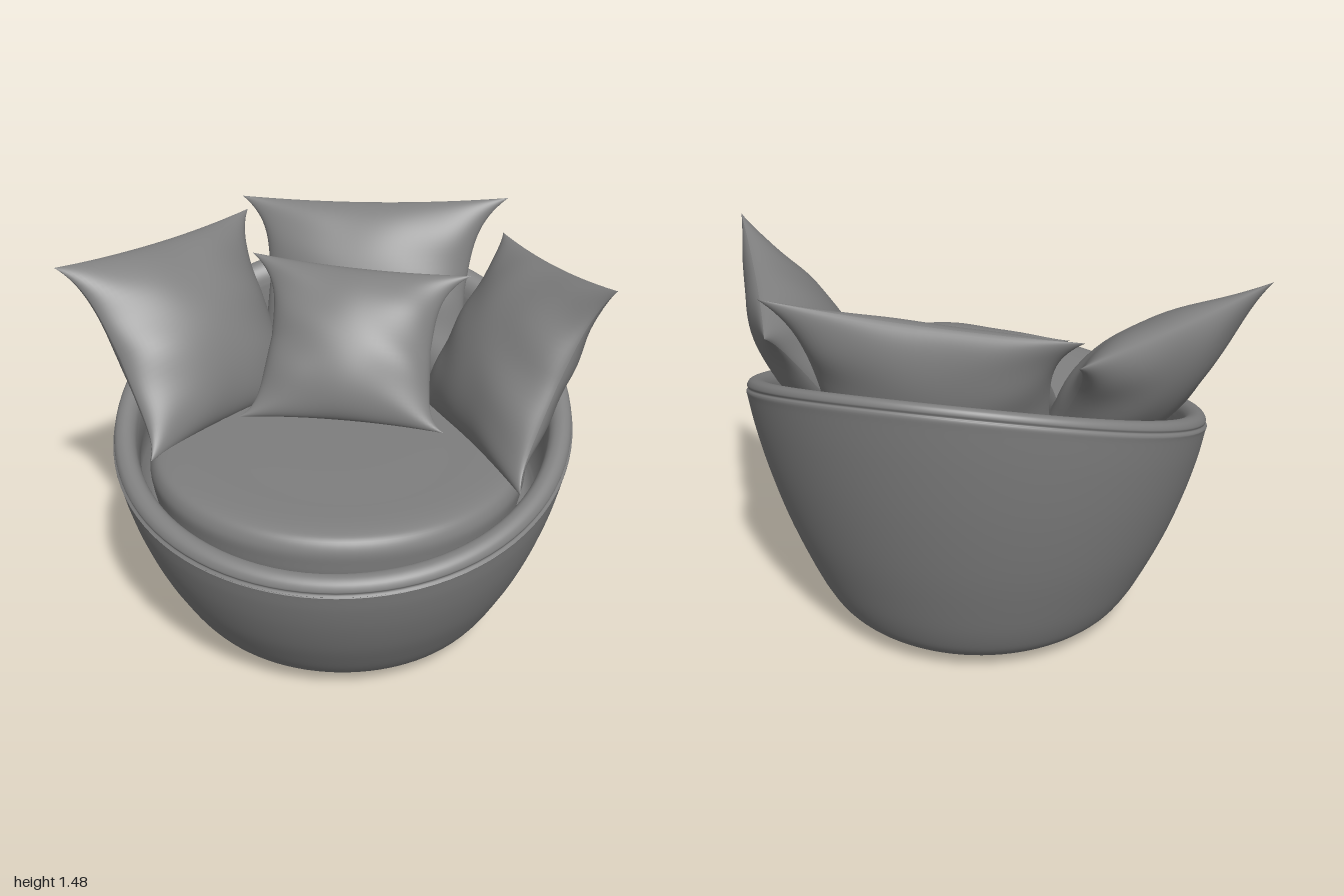
import * as THREE from 'three';
import { mergeVertices } from 'three/addons/utils/BufferGeometryUtils.js';

const fabric = new THREE.MeshStandardMaterial({ color: 0x808080 });
fabric.name = 'greyFabric';

const CENTRE_X = 0.045;

// Height of the sloping rim, low at the front and high at the back
const rimHeight = (z) => 0.89 - 0.337 * z + 0.087 * z * z;

function smooth(geometry) {
  geometry.deleteAttribute('uv');
  geometry.deleteAttribute('normal');
  const g = mergeVertices(geometry, 1e-5);
  g.computeVertexNormals();
  return g;
}

// Tub shell: each profile point is radius, share of the rim height, extra height
function tubGeometry() {
  const profile = [
    [0, 0, 0.005], [0.25, 0, 0.01], [0.42, 0, 0.026], [0.505, 0.02, 0.034], [0.56, 0.06, 0.038],
    [0.605, 0.14, 0.03], [0.665, 0.3, 0.01], [0.72, 0.46, 0], [0.775, 0.65, 0], [0.812, 0.82, 0],
    [0.829, 0.93, 0], [0.831, 1, -0.045], [0.825, 1, -0.036], [0.828, 1, -0.026], [0.818, 1, -0.005],
    [0.795, 1, 0.006], [0.77, 1, 0], [0.752, 1, -0.02], [0.742, 1, -0.06], [0.72, 0, 0.6], [0.68, 0, 0.56], [0, 0, 0.56],
  ].map((p) => new THREE.Vector3(...p));
  const points = new THREE.CatmullRomCurve3(profile, false, 'centripetal').getPoints(105);
  const lathe = new THREE.LatheGeometry(points.map((p, i) => new THREE.Vector2(Math.max(p.x, 0), i)), 96);
  const pos = lathe.attributes.position;
  for (let i = 0; i < pos.count; i++) {
    const p = points[Math.round(pos.getY(i))];
    const z = pos.getZ(i);
    pos.setXYZ(i, pos.getX(i) * 1.028, Math.max(0, p.y * rimHeight(z) + p.z), z);
  }
  return smooth(lathe);
}

// Round seat cushion with a soft edge
function seatGeometry() {
  const edge = [[0.6, 0.6], [0.67, 0.65], [0.69, 0.72], [0.694, 0.77], [0.675, 0.808], [0.63, 0.825], [0.4, 0.832], [0, 0.834]]
    .map(([r, y]) => new THREE.Vector3(r, y, 0));
  const curve = new THREE.CatmullRomCurve3(edge, false, 'centripetal').getPoints(36);
  const points = [new THREE.Vector2(0, 0.6), ...curve.map((p) => new THREE.Vector2(Math.max(p.x, 0), p.y))];
  return smooth(new THREE.LatheGeometry(points, 80));
}

// Scatter pillow stretched between four corners, with pinched sides and faint folds
function makePillow(name, corners, depth, pinch, phase) {
  const [tl, tr, bl, br] = corners.map((c) => new THREE.Vector3(...c));
  const across = tr.clone().sub(tl).add(br).sub(bl);
  const up = tl.clone().sub(bl).add(tr).sub(br);
  const normal = across.cross(up).normalize();
  const pillow = new THREE.Group();
  pillow.name = name;
  for (const side of [1, -1]) {
    const g = new THREE.PlaneGeometry(2, 2, 40, 40);
    const pos = g.attributes.position;
    for (let i = 0; i < pos.count; i++) {
      const u = Math.sin(pos.getX(i) * Math.PI / 2) * side;
      const v = Math.sin(pos.getY(i) * Math.PI / 2);
      const fu = Math.max(0, 1 - u * u), fv = Math.max(0, 1 - v * v);
      // Long ears at the top, short tips at the squashed bottom
      const squeeze = v > 0 ? pinch * (1 - v ** 4) : pinch * (1 + 0.4 * v) * (1 - v ** 8);
      const s = (u * (1 - squeeze) + 1) / 2;
      const t = (v * (1 - 0.06 * fu) + 1) / 2;
      const fold = 1 + 0.09 * u * u * Math.sin(9 * v + 3 * u + phase) + 0.05 * v * v * Math.sin(8 * u + phase);
      const top = tl.clone().lerp(tr, s);
      const p = bl.clone().lerp(br, s).lerp(top, t);
      p.addScaledVector(normal, side * depth * Math.pow(fu * fv, 0.6) * fold);
      pos.setXYZ(i, p.x, p.y, p.z);
    }
    g.computeVertexNormals();
    const mesh = new THREE.Mesh(g, fabric);
    mesh.name = side > 0 ? 'pillowFront' : 'pillowBack';
    pillow.add(mesh);
  }
  return pillow;
}

export function createModel() {
  const model = new THREE.Group();
  model.name = 'tubChair';

  const tub = new THREE.Mesh(tubGeometry(), fabric);
  tub.name = 'tubShell';
  tub.position.x = CENTRE_X;

  // Seat tips slightly back
  const seat = new THREE.Mesh(seatGeometry(), fabric);
  seat.name = 'seatCushion';
  seat.rotation.x = -0.05;
  seat.position.set(CENTRE_X, -0.033, 0.128);

  model.add(tub, seat);

  // Corners run top left, top right, bottom left, bottom right, seen from the seat
  model.add(
    makePillow('backPillow',
      [[-0.47, 1.43, -0.7], [0.59, 1.48, -0.71], [-0.4, 0.8, -0.44], [0.5, 0.8, -0.44]], 0.14, 0.2, 0),
    makePillow('smallPillow',
      [[-0.37, 1.31, -0.41], [0.48, 1.28, -0.39], [-0.35, 0.81, 0], [0.43, 0.81, 0]], 0.14, 0.25, 1.5),
    makePillow('leftPillow',
      [[0.58, 1.34, -0.7], [0.995, 1.48, 0.12], [0.28, 0.74, -0.4], [0.73, 0.8, 0.37]], 0.16, 0.18, 3),
    makePillow('rightPillow',
      [[-1, 1.4, 0.06], [-0.46, 1.36, -0.74], [-0.6, 0.79, 0.34], [-0.17, 0.74, -0.4]], 0.16, 0.18, 4.5),
  );
  return model;
}
